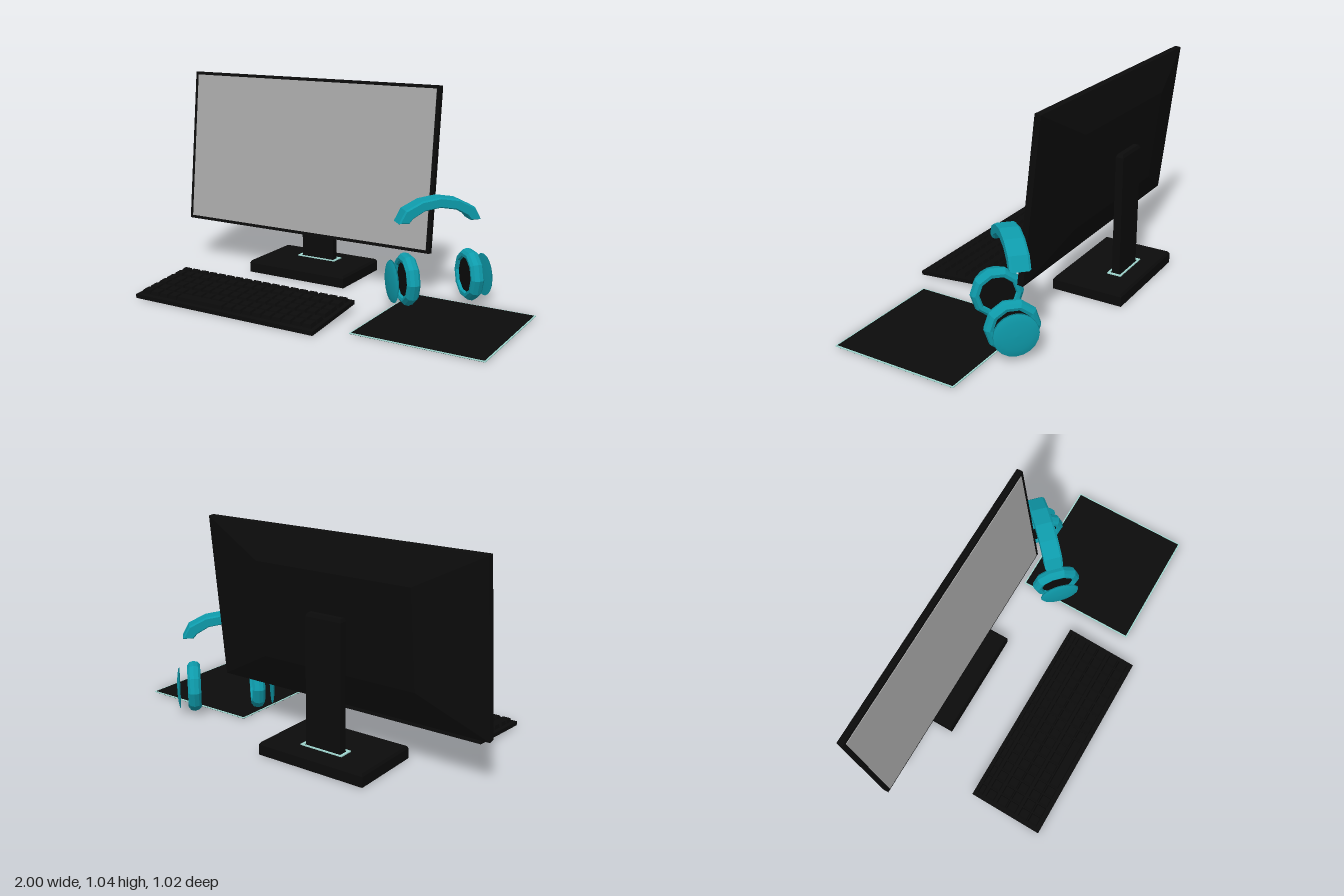
import * as THREE from 'three';
import { mergeGeometries } from 'three/addons/utils/BufferGeometryUtils.js';
import { ConvexGeometry } from 'three/addons/geometries/ConvexGeometry.js';

const mat = (name, color) => {
  const m = new THREE.MeshStandardMaterial({ color });
  m.name = name;
  return m;
};

// Convex block from stacked rectangles [y, halfX, halfZ]
function block(levels) {
  const pts = [];
  for (const [y, hx, hz] of levels)
    for (const sx of [-1, 1]) for (const sz of [-1, 1]) pts.push(new THREE.Vector3(sx * hx, y, sz * hz));
  return new ConvexGeometry(pts);
}

export function createModel() {
  const black = mat('black plastic', 0x0b0b0b);
  const teal = mat('teal plastic', 0x0e9bab);
  const pale = mat('pale teal trim', 0x9fd6cf);
  const grey = mat('grey screen', 0xa8a8a8);
  const root = new THREE.Group();
  root.name = 'deskSet';

  const group = (name, parent = root) => {
    const g = new THREE.Group();
    g.name = name;
    parent.add(g);
    return g;
  };
  const add = (parent, name, geo, material, x = 0, y = 0, z = 0) => {
    const m = new THREE.Mesh(geo, material);
    m.name = name;
    m.position.set(x, y, z);
    parent.add(m);
    return m;
  };
  const box = (w, h, d) => new THREE.BoxGeometry(w, h, d);

  // Monitor panel, leaning back, with a raised rear
  const monitor = group('monitor');
  monitor.position.set(-0.27, 0.23, -0.205);
  monitor.rotation.x = -0.11;
  const W = 1.464, H = 0.815;
  const shell = [];
  for (const [z, hx, y0, y1] of [[0, W / 2, 0, H], [-0.03, W / 2, 0, H], [-0.091, 0.41, 0.182, 0.654]])
    for (const x of [-hx, hx]) for (const y of [y0, y1]) shell.push(new THREE.Vector3(x, y, z));
  add(monitor, 'monitorShell', new ConvexGeometry(shell), black);
  add(monitor, 'screen', box(W - 0.036, H - 0.032, 0.004), grey, 0, H / 2, 0.001);

  // Stand: base, neck and trim around the neck
  const stand = group('stand');
  stand.position.set(-0.265, 0, -0.325);
  add(stand, 'standBase', block([[0, 0.287, 0.186], [0.05, 0.287, 0.186], [0.062, 0.28, 0.179]]), black);
  add(stand, 'standNeck', block([[0.05, 0.095, 0.02], [0.672, 0.095, 0.02], [0.688, 0.088, 0.013]]), black, 0, 0, -0.06);
  for (const s of [-1, 1]) {
    add(stand, 'neckTrimSide', box(0.013, 0.006, 0.075), pale, s * 0.108, 0.064, -0.06);
    add(stand, 'neckTrimBar', box(0.229, 0.006, 0.009), pale, 0, 0.064, -0.06 + s * 0.033);
  }

  // Keyboard, sloping up to the back
  const keyboard = group('keyboard');
  keyboard.position.set(-0.273, 0, 0.509);
  keyboard.rotation.x = 0.087;
  add(keyboard, 'keyboardBody', box(1.016, 0.02, 0.384), black, 0, 0.01, -0.192);
  const keys = [];
  const key = (x, z, w, d) => {
    const g = block([[0, w / 2, d / 2], [0.018, w / 2 - 0.005, d / 2 - 0.005]]);
    keys.push(g.translate(x, 0.02, z));
  };
  const rows = [[0.158, 0.03], [0.212, 0.048], [0.278, 0.052], [0.334, 0.052], [0.402, 0.052], [0.459, 0.052]];
  const pitch = 0.0545;
  rows.forEach(([z, d], r) => {
    for (let c = 0; c < 18; c++) {
      if (r === 5 && c > 3 && c < 9) continue;
      key((c - 8.5) * pitch, z - 0.509, 0.049, d);
    }
  });
  key(-2.5 * pitch, 0.459 - 0.509, 5 * pitch - 0.006, 0.052); // space bar
  add(keyboard, 'keys', mergeGeometries(keys), black);

  // Mouse mat with pale edge
  const mouseMat = group('mouseMat');
  mouseMat.position.set(0.681, 0, 0.087);
  add(mouseMat, 'matEdge', box(0.638, 0.004, 0.636), pale, 0, 0.003, 0);
  add(mouseMat, 'matTop', box(0.624, 0.002, 0.622), black, 0, 0.0055, 0);
  add(mouseMat, 'matUnderside', box(0.636, 0.002, 0.634), black, 0, 0.001, 0);

  // Headphones, turned 45 degrees
  const phones = group('headphones');
  phones.position.set(0.526, 0, -0.177);
  phones.rotation.y = Math.PI / 4;

  // Headband arch with bevelled edges
  const outer = [[0.2, 0.413], [0.17, 0.466], [0.09, 0.506], [0, 0.52]];
  const inner = [[0.158, 0.413], [0.14, 0.435], [0.08, 0.469], [0, 0.482]];
  const mirrored = (pts) => [...pts, ...pts.slice(0, -1).reverse().map(([x, y]) => [-x, y])];
  const arch = new THREE.Shape([...mirrored(outer), ...mirrored(inner).reverse()].map(([x, y]) => new THREE.Vector2(x, y)));
  const bandGeo = new THREE.ExtrudeGeometry(arch, {
    depth: 0.074, bevelEnabled: true, bevelThickness: 0.01, bevelSize: 0.006, bevelSegments: 1,
  });
  add(phones, 'headband', bandGeo, teal, 0, 0, -0.028 - 0.037);

  // Ear cups: faceted ring, dark pads on both sides, floating outer cap
  const v2 = (list) => list.map(([r, h]) => new THREE.Vector2(r, h));
  const flat = (geo) => {
    const g = geo.toNonIndexed();
    g.computeVertexNormals();
    return g;
  };
  const ringGeo = flat(new THREE.LatheGeometry(v2([
    [0.086, -0.022], [0.092, -0.033], [0.108, -0.034], [0.122, -0.022], [0.128, 0],
    [0.122, 0.02], [0.105, 0.032], [0.09, 0.028], [0.086, 0.018], [0.086, -0.022],
  ]), 10));
  const padGeo = new THREE.CylinderGeometry(0.089, 0.089, 0.036, 10);
  const capGeo = new THREE.LatheGeometry(v2([[0, -0.003], [0.104, -0.003], [0.1, 0.002], [0.07, 0.008], [0.035, 0.011], [0, 0.012]]), 20);
  for (const s of [-1, 1]) {
    const cup = group(s > 0 ? 'rearEarCup' : 'frontEarCup', phones);
    cup.position.set(s * 0.162, 0.134, 0);
    cup.rotation.z = -s * Math.PI / 2;
    add(cup, 'earRing', ringGeo, teal);
    add(cup, 'earPad', padGeo, black, 0, -0.002, 0);
    add(cup, 'earCap', capGeo, teal, s * 0.006, 0.074, 0);
  }
  return root;
}
